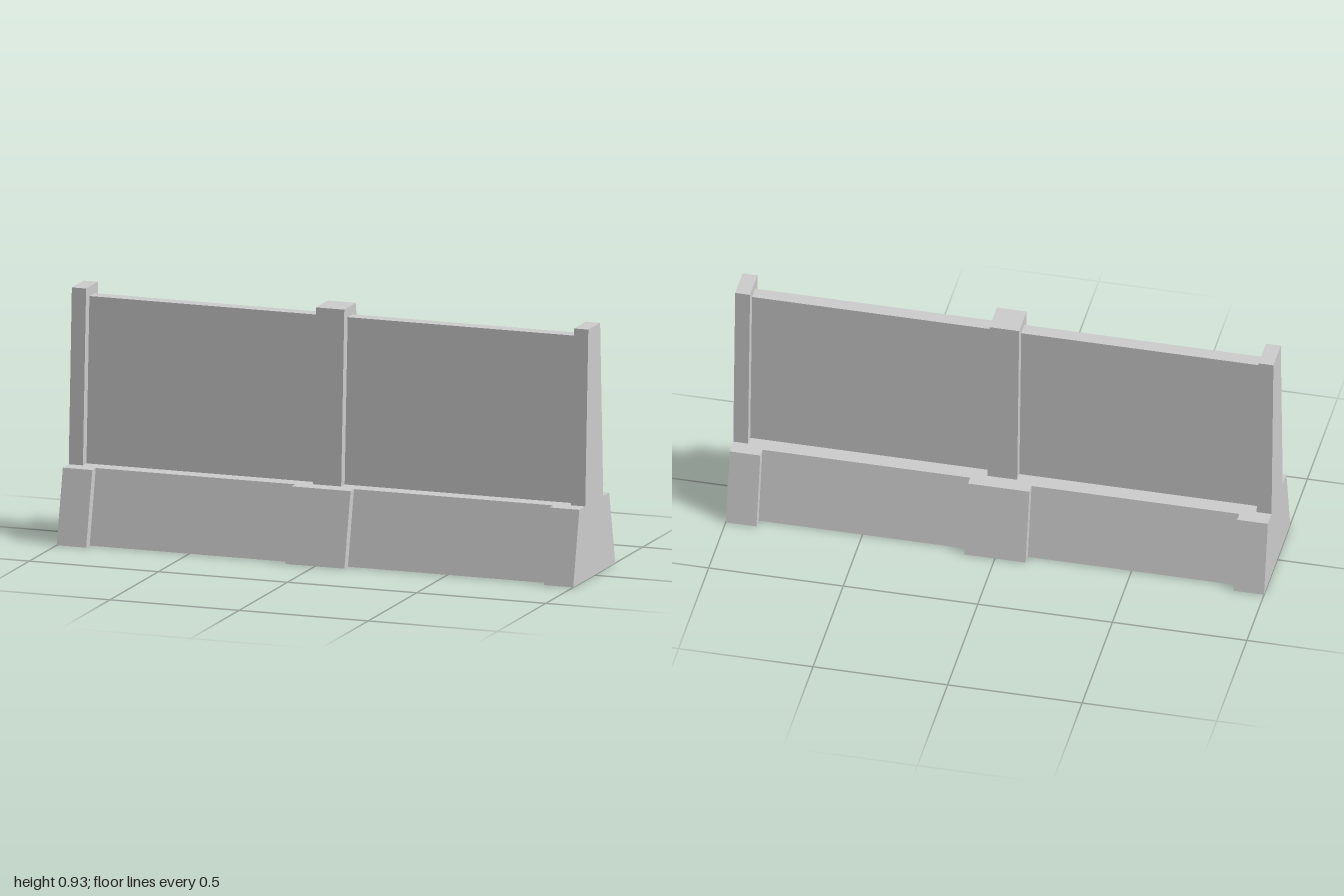
import * as THREE from 'three';

export function createModel() {
  const concrete = new THREE.MeshStandardMaterial({ color: 0xcccccc });
  concrete.name = 'concrete';
  const group = new THREE.Group();
  group.name = 'concreteBarrier';

  // Tapered block: trapezoid cross-section in z/y, extruded along x
  function block(name, x0, x1, y0, y1, bottomHalf, topHalf) {
    const shape = new THREE.Shape([
      new THREE.Vector2(-bottomHalf, y0),
      new THREE.Vector2(bottomHalf, y0),
      new THREE.Vector2(topHalf, y1),
      new THREE.Vector2(-topHalf, y1),
    ]);
    const geometry = new THREE.ExtrudeGeometry(shape, { depth: x1 - x0, bevelEnabled: false });
    geometry.rotateY(Math.PI / 2).translate(x0, 0, 0);
    const mesh = new THREE.Mesh(geometry, concrete);
    mesh.name = name;
    group.add(mesh);
  }

  const ledge = 0.275;

  // Footings and pillars at both ends and the middle
  const posts = [
    ['right', -1, -0.886, -1, -0.945],
    ['middle', -0.114, 0.114, -0.055, 0.055],
    ['left', 0.886, 1, 0.945, 1],
  ];
  for (const [side, f0, f1, p0, p1] of posts) {
    block(side + 'Footing', f0, f1, 0, ledge, 0.217, 0.154);
    block(side + 'Pillar', p0, p1, ledge, 0.925, 0.093, 0.061);
  }

  // Recessed base and wall panels between the posts
  block('rightBasePanel', -0.886, -0.114, 0, ledge, 0.181, 0.118);
  block('leftBasePanel', 0.114, 0.886, 0, ledge, 0.181, 0.118);
  block('rightWallPanel', -0.945, -0.055, ledge, 0.89, 0.057, 0.026);
  block('leftWallPanel', 0.055, 0.945, ledge, 0.89, 0.057, 0.026);

  return group;
}
